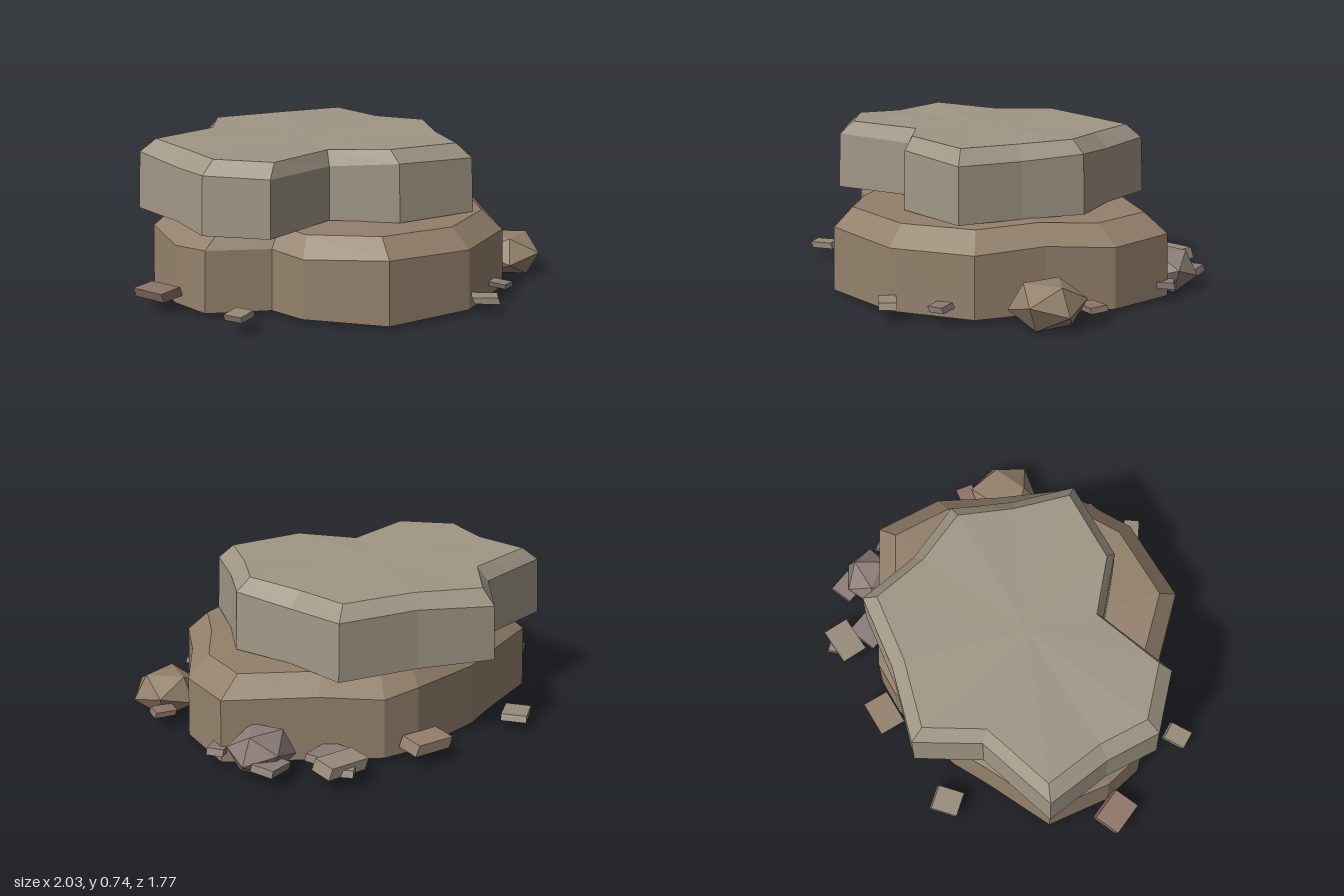
import * as THREE from 'three';

const stone = (color, side = THREE.FrontSide) =>
  new THREE.MeshStandardMaterial({ color, flatShading: true, roughness: 1, side });

// Open-bottomed rock ledge: straight wall, chamfer, then a fan-shaped cap.
// The outline runs as [x, z] pairs; each ring is [scale about centre, height, unevenness].
function ledge(name, outline, [cx, cz], rings, capY, color) {
  const n = outline.length, pos = [], index = [];
  for (const [s, y, wobble] of rings) {
    outline.forEach(([x, z], i) =>
      pos.push(cx + (x - cx) * s, y + wobble * Math.sin(i * 2.3), cz + (z - cz) * s));
  }
  for (let r = 0; r < rings.length - 1; r++) {
    for (let i = 0; i < n; i++) {
      const a = r * n + i, b = r * n + (i + 1) % n;
      index.push(a, a + n, b, b, a + n, b + n);
    }
  }
  const top = (rings.length - 1) * n, apex = pos.length / 3;
  pos.push(cx, capY, cz);
  for (let i = 0; i < n; i++) index.push(top + i, apex, top + (i + 1) % n);
  const g = new THREE.BufferGeometry();
  g.setAttribute('position', new THREE.Float32BufferAttribute(pos, 3));
  g.setIndex(index);
  const flat = g.toNonIndexed();
  flat.computeVertexNormals();
  const mesh = new THREE.Mesh(flat, stone(color, THREE.DoubleSide));
  mesh.name = name;
  return mesh;
}

export function createModel() {
  const group = new THREE.Group();
  group.name = 'layeredRock';

  // Wide lower ledge
  const lower = [
    [-0.3, -0.6], [0.08, -0.71], [0.26, -0.71], [0.52, -0.57], [0.9, -0.37], [0.9, -0.03],
    [0.75, 0.25], [0.63, 0.56], [0.28, 0.76], [-0.16, 0.76], [-0.44, 0.48], [-0.5, 0.3],
    [-0.78, 0.18], [-0.83, -0.03], [-0.8, -0.34], [-0.46, -0.51],
  ];
  group.add(ledge('lowerLedge', lower.reverse(), [0, 0],
    [[1, 0.035, 0], [0.99, 0.325, 0.012], [0.87, 0.415, 0.008]], 0.42, 0x93806b));

  // Overhanging upper ledge
  const upper = [
    [-0.28, -0.78], [0.08, -0.69], [0.46, -0.65], [0.53, -0.34], [0.66, -0.06], [0.55, 0.22],
    [0.47, 0.52], [0.06, 0.51], [-0.19, 0.3], [-0.58, 0.44], [-0.81, 0.23], [-0.8, -0.04],
    [-0.85, -0.37], [-0.45, -0.5],
  ];
  group.add(ledge('upperLedge', upper.reverse(), [-0.09, -0.06],
    [[1, 0.42, 0], [0.985, 0.685, 0.012], [0.89, 0.75, 0.006]], 0.75, 0xa09685));

  // Faceted boulders: centre, half sizes, turn, colour
  [
    [0.845, 0.115, 0.33, 0.17, 0.12, 0.18, 0.4, 0x93806b],
    [0.765, 0.115, -0.5, 0.16, 0.12, 0.14, 1.1, 0x8b7c77],
  ].forEach(([x, y, z, sx, sy, sz, turn, color], i) => {
    const g = new THREE.IcosahedronGeometry(1, 0).rotateX(0.35).rotateY(turn).scale(sx, sy, sz);
    const boulder = new THREE.Mesh(g, stone(color));
    boulder.position.set(x, y, z);
    boulder.name = 'boulder' + (i + 1);
    group.add(boulder);
  });

  // Flat slab chips: x, z, width, depth, thickness, turn, colour
  const tan = 0x968a79, red = 0x8f7467, mauve = 0x8b7c77, brown = 0x93806b;
  const chips = new THREE.Group();
  chips.name = 'chips';
  [
    [-0.915, -0.035, 0.13, 0.17, 0.045, 0.42, red],
    [-0.735, 0.43, 0.11, 0.09, 0.03, 0.55, tan],
    [-0.46, -0.725, 0.13, 0.12, 0.03, 0.75, tan],
    [0.09, -0.785, 0.18, 0.13, 0.05, 0.03, brown],
    [0.53, -0.78, 0.19, 0.13, 0.05, 0.08, tan],
    [0.52, -0.65, 0.16, 0.12, 0.03, 0.4, mauve],
    [0.53, -0.81, 0.1, 0.1, 0.03, 0.85, tan],
    [0.79, -0.63, 0.12, 0.12, 0.03, 0.4, mauve],
    [0.9, -0.35, 0.09, 0.08, 0.03, 0.7, mauve],
    [0.945, 0.16, 0.1, 0.09, 0.025, -0.12, red],
    [0.53, 0.665, 0.07, 0.1, 0.025, 0.4, mauve],
    [0.335, 0.81, 0.12, 0.08, 0.03, -0.6, tan],
  ].forEach(([x, z, w, d, h, turn, color]) => {
    // Skew each chip a little so its edges slope
    const g = new THREE.BoxGeometry(w, h, d);
    const p = g.attributes.position;
    for (let i = 0; i < p.count; i++) p.setX(i, p.getX(i) - p.getY(i) * 0.4);
    g.computeVertexNormals();
    const chip = new THREE.Mesh(g, stone(color));
    chip.position.set(x, 0.08 + h / 2, z);
    chip.rotation.y = turn;
    chip.name = 'chip';
    chips.add(chip);
  });
  group.add(chips);
  return group;
}
